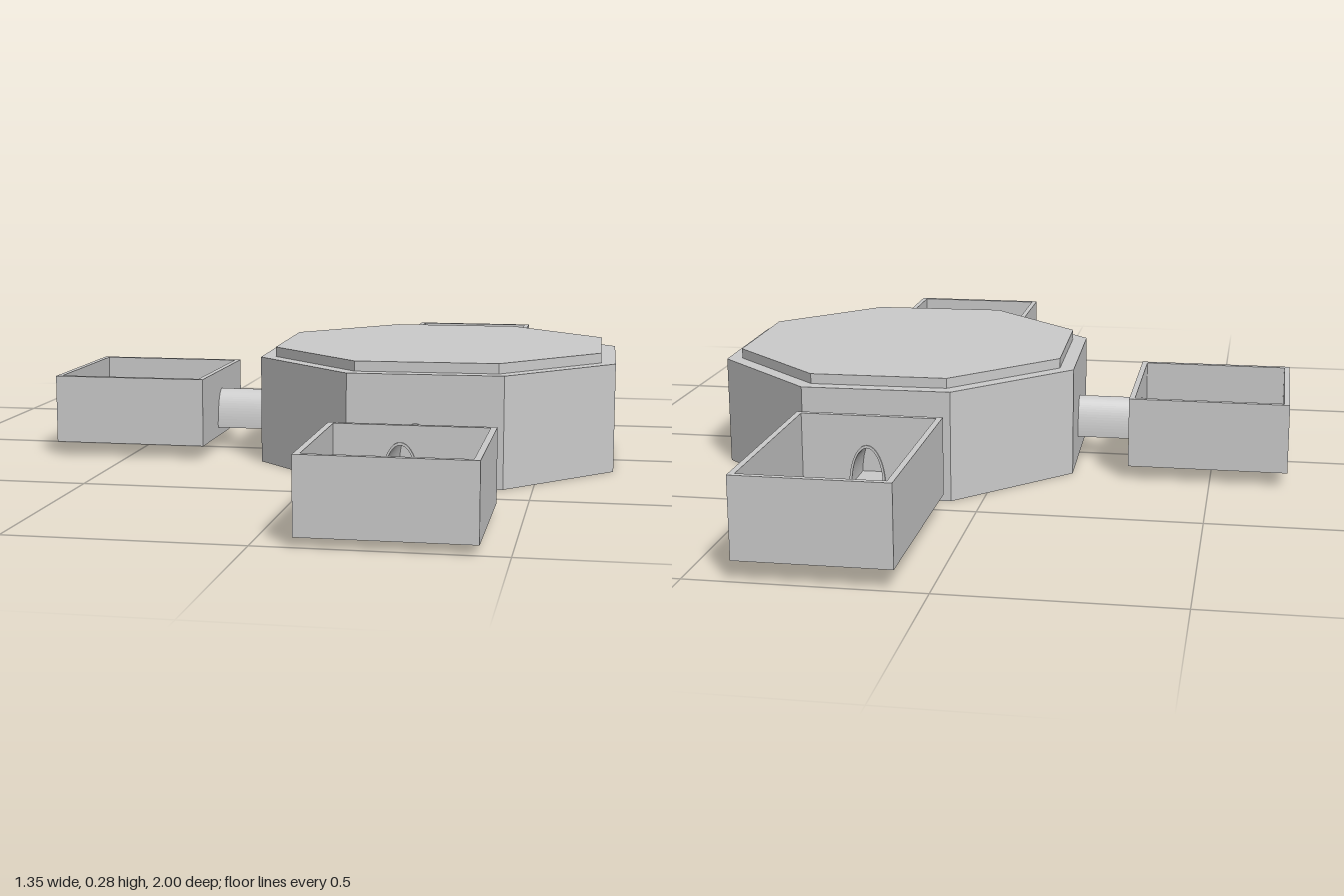
import * as THREE from 'three';

const grey = new THREE.MeshStandardMaterial({ color: 0xcccccc, flatShading: true });
const smooth = new THREE.MeshStandardMaterial({ color: 0xcccccc });
const WALL = 0.013;

function add(parent, name, geometry, x = 0, y = 0, z = 0, material = grey) {
  const mesh = new THREE.Mesh(geometry, material);
  mesh.name = name;
  mesh.position.set(x, y, z);
  parent.add(mesh);
  return mesh;
}

const extrude = (shape, depth) =>
  new THREE.ExtrudeGeometry(shape, { depth, bevelEnabled: false, curveSegments: 20 });

// Horizontal slab from plan points [x, z]
function slab(points, height) {
  const shape = new THREE.Shape(points.map(([x, z]) => new THREE.Vector2(x, -z)));
  return extrude(shape, height).rotateX(-Math.PI / 2);
}

// Half-elliptical arch standing on a flat base
function arch(Type, x, y, halfWidth, height) {
  const path = new Type();
  path.moveTo(x + halfWidth, y);
  path.absellipse(x, y, halfWidth, height, 0, Math.PI, false);
  path.closePath();
  return path;
}

// Open-topped room whose doorway (local -z) leads into an arched tunnel
function chamber(root, name, { at, w, d, h, turn, door, doorY, tunnel }) {
  const room = new THREE.Group();
  room.name = name;
  room.position.set(...at);
  room.rotation.y = turn;
  root.add(room);

  add(room, 'floor', new THREE.BoxGeometry(w, WALL, d), 0, WALL / 2, 0);
  add(room, 'endWall', new THREE.BoxGeometry(w, h, WALL), 0, h / 2, d / 2 - WALL / 2);
  for (const s of [-1, 1])
    add(room, 'sideWall', new THREE.BoxGeometry(WALL, h, d), s * (w - WALL) / 2, h / 2, 0);

  const wall = new THREE.Shape();
  wall.moveTo(-w / 2, 0).lineTo(w / 2, 0).lineTo(w / 2, h).lineTo(-w / 2, h).closePath();
  wall.holes.push(arch(THREE.Path, door, doorY, 0.036, 0.088));
  add(room, 'doorWall', extrude(wall, WALL), 0, 0, -d / 2);

  const tube = arch(THREE.Shape, door, doorY, 0.041, 0.094);
  tube.holes.push(arch(THREE.Path, door, doorY + 0.005, 0.035, 0.083));
  add(room, 'tunnel', extrude(tube, tunnel + WALL + 0.003), 0, 0, -d / 2 - tunnel, smooth);
}

export function createModel() {
  const root = new THREE.Group();
  root.name = 'chamberComplex';

  // Central octagonal hall with a raised, inset roof
  const hall = [[0.07, -0.435], [0.41, -0.44], [0.665, -0.2], [0.672, 0.15],
    [0.435, 0.4], [0.085, 0.412], [-0.165, 0.17], [-0.175, -0.18]];
  const cx = 0.249, cz = -0.015;
  const roof = hall.map(([x, z]) => [cx + (x - cx) * 0.92, cz + (z - cz) * 0.92]);
  add(root, 'hall', slab(hall, 0.254));
  add(root, 'roof', slab(roof, 0.024), 0, 0.253, 0);

  // Three satellite rooms and their tunnels
  chamber(root, 'frontRoom', { at: [0.263, 0.02, 0.815], w: 0.355, d: 0.37, h: 0.16,
    turn: 0, door: -0.023, doorY: 0.03, tunnel: 0.235 });
  chamber(root, 'backRoom', { at: [0.233, 0.044, -0.76], w: 0.328, d: 0.48, h: 0.175,
    turn: Math.PI, door: -0.004, doorY: 0.014, tunnel: 0.09 });
  chamber(root, 'rightRoom', { at: [-0.494, 0.033, -0.016], w: 0.385, d: 0.37, h: 0.163,
    turn: -Math.PI / 2, door: 0.006, doorY: 0.022, tunnel: 0.145 });

  // Round posts in the front room
  const posts = [[0.17, 0.73], [0.265, 0.69], [0.355, 0.725], [0.255, 0.81],
    [0.345, 0.855], [0.15, 0.885], [0.2, 0.945], [0.3, 0.95]];
  for (const [x, z] of posts)
    add(root, 'post', new THREE.CylinderGeometry(0.01, 0.01, 0.045, 12), x, 0.055, z, smooth);

  // Square blocks in the back room
  const blocks = [[0.098, -0.955], [0.365, -0.925], [0.185, -0.75], [0.34, -0.778],
    [0.26, -0.665], [0.365, -0.645], [0.095, -0.608]];
  for (const [x, z] of blocks)
    add(root, 'block', new THREE.BoxGeometry(0.025, 0.03, 0.025), x, 0.071, z);

  // Low platform and peg in the right room
  add(root, 'platform', new THREE.BoxGeometry(0.22, 0.008, 0.22), -0.49, 0.05, -0.008);
  add(root, 'peg', new THREE.CylinderGeometry(0.009, 0.009, 0.02, 12), -0.626, 0.055, -0.02, smooth);

  return root;
}
